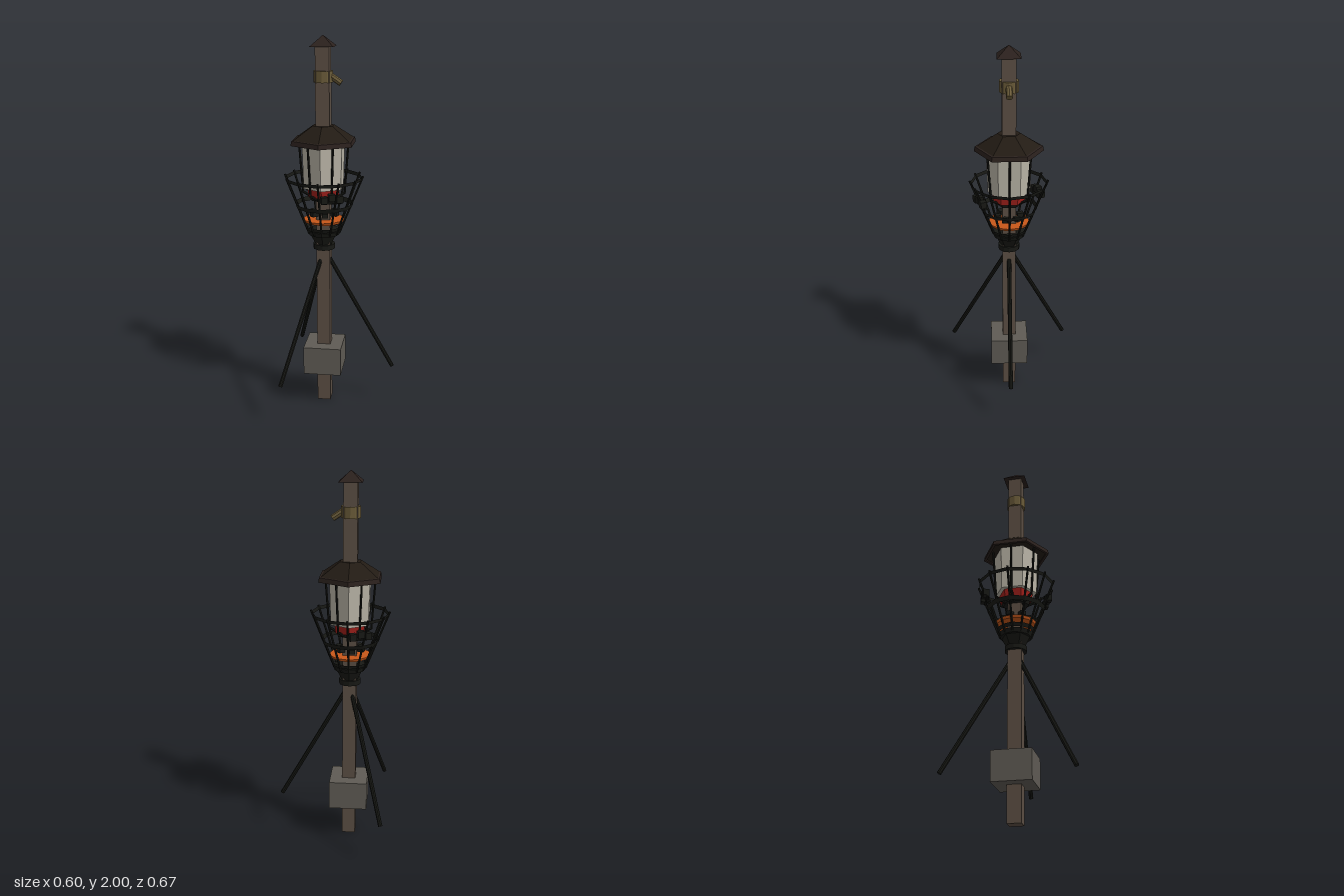
import * as THREE from 'three';

const mat = (color) => new THREE.MeshStandardMaterial({ color, flatShading: true, side: THREE.DoubleSide });
const WOOD = mat(0x5c4f44), IRON = mat(0x171814), ROOF = mat(0x221b14), TRIM = mat(0x2b211d);
const GLASS = mat(0xb9b4a6), RED = mat(0x9c1f1a), ORANGE = mat(0xc8581a);
const BRASS = mat(0x6a5b39), STONE = mat(0x5f5b54);

export function createModel() {
  const model = new THREE.Group();
  model.position.x = -0.088; // everything is built around the post axis

  const add = (name, geometry, material, x = 0, y = 0, z = 0) => {
    const mesh = new THREE.Mesh(geometry, material);
    mesh.name = name;
    mesh.position.set(x, y, z);
    model.add(mesh);
    return mesh;
  };
  const polar = (r, a, y) => new THREE.Vector3(r * Math.cos(a), y, r * Math.sin(a));
  // straight rod between two points
  const rod = (name, a, b, r, material, sides = 6) => {
    const dir = b.clone().sub(a);
    const mesh = add(name, new THREE.CylinderGeometry(r, r, dir.length(), sides), material);
    mesh.position.copy(a).add(b).multiplyScalar(0.5);
    mesh.quaternion.setFromUnitVectors(new THREE.Vector3(0, 1, 0), dir.normalize());
    return mesh;
  };
  // closed or open prism between two heights
  const prism = (name, rTop, rBottom, y0, y1, sides, material, open = false) =>
    add(name, new THREE.CylinderGeometry(rTop, rBottom, y1 - y0, sides, 1, open), material, 0, (y0 + y1) / 2, 0);

  // post, footing and pointed cap
  add('post', new THREE.BoxGeometry(0.072, 1.95, 0.072), WOOD, 0, 0.975, 0);
  add('footing', new THREE.BoxGeometry(0.204, 0.155, 0.204), STONE, 0, 0.263, 0);
  const cap = add('postCap', new THREE.ConeGeometry(0.085, 0.055, 4), TRIM, 0, 1.9725, 0);
  cap.rotation.y = Math.PI / 4;

  // collar with a short spout
  prism('collar', 0.05, 0.05, 1.767, 1.825, 12, BRASS);
  rod('spout', new THREE.Vector3(0.03, 1.805, 0), new THREE.Vector3(0.092, 1.763, 0), 0.017, BRASS, 8);

  // three slanted struts
  for (let i = 0; i < 3; i++) {
    const a = (i * Math.PI * 2) / 3;
    rod('strut', polar(0.03, a, 0.83), polar(0.376, a, 0.215), 0.0115, IRON, 8);
  }

  // hexagonal roof with a trim along the eave
  const profile = (pts) => pts.map(([x, y]) => new THREE.Vector2(x, y));
  add('roof', new THREE.LatheGeometry(profile([[0.035, 1.46], [0.17, 1.46], [0.17, 1.476], [0.06, 1.548], [0.035, 1.548]]), 6), ROOF);
  add('roofTrim', new THREE.LatheGeometry(profile([[0.165, 1.453], [0.181, 1.453], [0.176, 1.477], [0.165, 1.479], [0.165, 1.453]]), 6), TRIM);

  // lantern: glass, red band, base plate and window bars
  prism('glass', 0.119, 0.112, 1.222, 1.46, 6, GLASS);
  prism('redBand', 0.09, 0.085, 1.175, 1.222, 6, RED);
  prism('lanternBase', 0.078, 0.07, 1.155, 1.177, 6, IRON);
  for (let i = 0; i < 6; i++) {
    const a = (i * Math.PI) / 3;
    rod('windowBar', polar(0.129, a, 1.46), polar(0.11, a, 1.19), 0.006, IRON);
    rod('baseArm', polar(0.112, a, 1.195), polar(0.06, a, 1.165), 0.007, IRON);
  }

  // basket: slanted ribs held by thin hoops
  for (let i = 0; i < 12; i++) {
    const a = (i * Math.PI) / 6;
    rod('basketRib', polar(0.083, a, 0.975), polar(0.206, a, 1.285), 0.006, IRON);
  }
  prism('upperHoop', 0.202, 0.198, 1.262, 1.28, 12, IRON, true);
  prism('middleHoop', 0.156, 0.147, 1.118, 1.14, 12, IRON, true);
  prism('lowerHoop', 0.1, 0.092, 0.995, 1.015, 12, IRON, true);
  prism('basketFloor', 0.09, 0.082, 0.967, 0.99, 12, IRON);

  // fire tray with dark lumps around the post
  prism('fireTray', 0.108, 0.102, 1.038, 1.052, 12, ORANGE);
  for (let i = 0; i < 6; i++) {
    const a = (i * Math.PI) / 3 + 0.3;
    const lump = add('coal', new THREE.BoxGeometry(0.035, 0.022, 0.03), IRON);
    lump.position.copy(polar(0.062, a, 1.083));
    lump.rotation.y = -a;
  }

  // funnel and clamp that carry the basket
  prism('funnel', 0.075, 0.046, 0.91, 0.967, 6, IRON);
  prism('clamp', 0.058, 0.058, 0.888, 0.915, 12, IRON);

  // two opposite rows of small boxes on the basket side
  for (const side of [1, -1]) {
    [[0.026, 0.17], [0.064, 0.156], [0.1, 0.138]].forEach(([x, z], i) => {
      const box = add('sideBox', new THREE.BoxGeometry(0.034, 0.035, 0.032), IRON, side * x, 1.195 + 0.012 * (i % 2), side * z);
      box.rotation.y = 0.4;
    });
    rod('boxRail', new THREE.Vector3(side * 0.01, 1.175, side * 0.165),
      new THREE.Vector3(side * 0.115, 1.175, side * 0.122), 0.007, IRON);
  }

  const root = new THREE.Group();
  root.name = 'lanternPost';
  root.add(model);
  return root;
}
